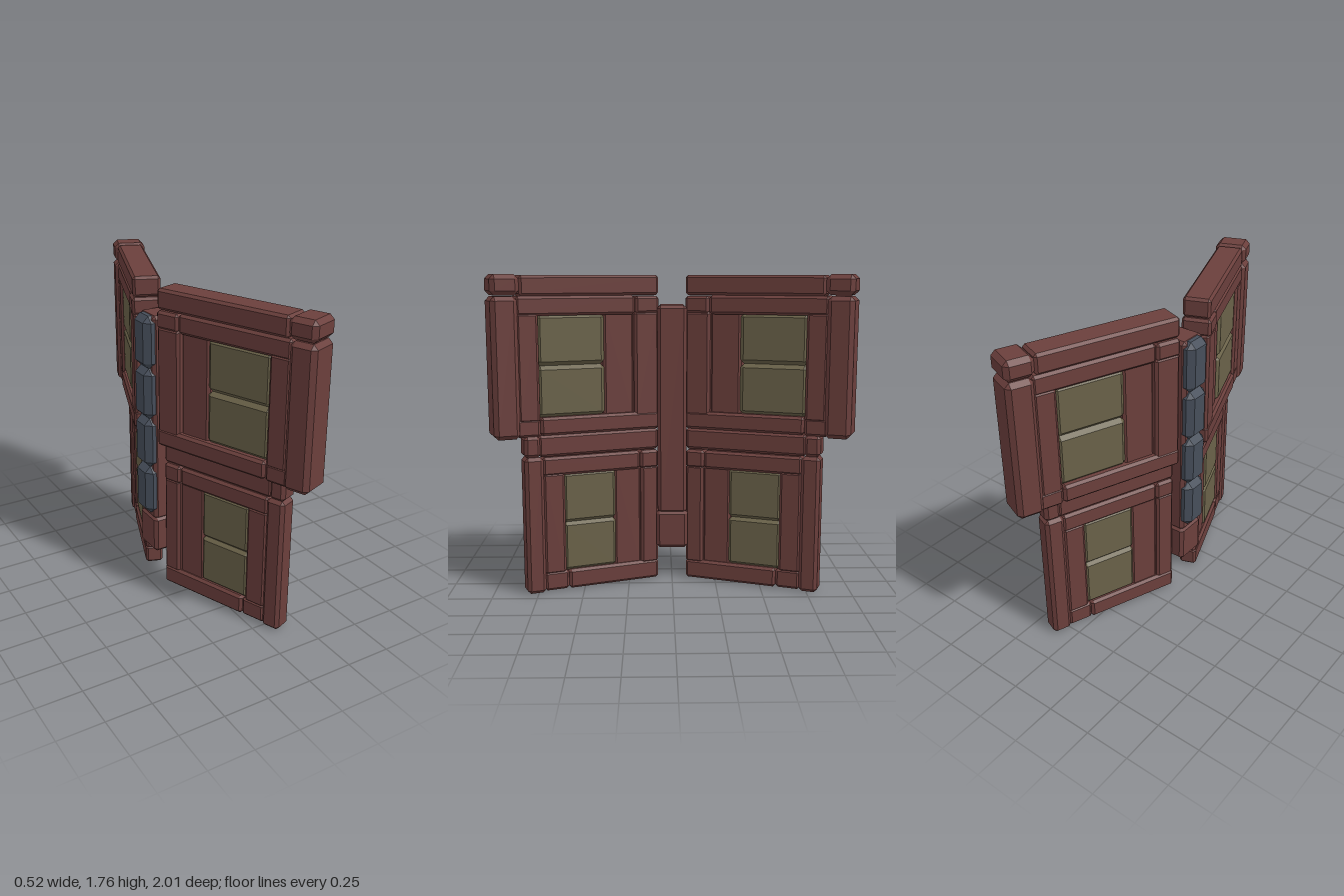
import * as THREE from 'three';
import { ConvexGeometry } from 'three/addons/geometries/ConvexGeometry.js';

const material = (color) => new THREE.MeshStandardMaterial({ color, flatShading: true });
const wood = material(0x6b3f3c);
const glass = material(0x6a6249);
const metal = material(0x464e5a);

// Box between two corners with all edges chamfered by c
function block(name, x0, x1, y0, y1, z0, z1, c, mat = wood) {
  const h = [(x1 - x0) / 2, (y1 - y0) / 2, (z1 - z0) / 2];
  const points = [];
  for (const sx of [-1, 1]) for (const sy of [-1, 1]) for (const sz of [-1, 1])
    for (let k = 0; k < 3; k++) {
      const p = [sx, sy, sz].map((s, i) => s * (i === k ? h[i] : h[i] - c));
      points.push(new THREE.Vector3(...p));
    }
  const mesh = new THREE.Mesh(new ConvexGeometry(points), mat);
  mesh.position.set((x0 + x1) / 2, (y0 + y1) / 2, (z0 + z1) / 2);
  mesh.name = name;
  return mesh;
}

// A part of a wing: from u0 to u1 along the wing, y0 to y1 high, t thick
const part = (name, u0, u1, y0, y1, t, c = 0.014, mat = wood) =>
  block(name, -t / 2, t / 2, y0, y1, u0, u1, c, mat);

function upperPanel() {
  const g = new THREE.Group();
  g.name = 'upperPanel';
  g.add(
    part('topRail', 0, 0.79, 1.65, 1.76, 0.15),
    part('cornerCap', 0.79, 0.945, 1.655, 1.765, 0.18, 0.024),
    part('outerPost', 0.8, 0.945, 0.885, 1.65, 0.18, 0.024),
    // pinwheel frame
    part('topCorner', 0, 0.14, 1.55, 1.645, 0.16),
    part('headRail', 0.14, 0.81, 1.545, 1.65, 0.148),
    part('innerStile', 0, 0.145, 0.97, 1.56, 0.15),
    part('outerStile', 0.69, 0.81, 0.97, 1.56, 0.148),
    part('bottomRail', 0, 0.69, 0.895, 0.995, 0.16),
    part('bottomCorner', 0.69, 0.82, 0.89, 0.99, 0.148),
    // infill
    part('plank', 0.14, 0.32, 0.98, 1.56, 0.095),
    part('lowerPane', 0.315, 0.7, 0.99, 1.275, 0.12, 0.022, glass),
    part('upperPane', 0.315, 0.7, 1.275, 1.555, 0.12, 0.022, glass)
  );
  return g;
}

function lowerPanel() {
  const g = new THREE.Group();
  g.name = 'lowerPanel';
  g.add(
    part('middleRail', 0, 0.7, 0.775, 0.895, 0.095),
    part('middleCap', 0.69, 0.78, 0.775, 0.895, 0.11, 0.018),
    part('outerPost', 0.675, 0.78, 0, 0.775, 0.11, 0.018),
    // pinwheel frame
    part('topCorner', 0, 0.11, 0.665, 0.77, 0.1),
    part('headRail', 0.11, 0.68, 0.665, 0.77, 0.092),
    part('innerStile', 0, 0.105, 0.1, 0.68, 0.095),
    part('outerStile', 0.555, 0.68, 0.1, 0.68, 0.09),
    part('bottomRail', 0, 0.54, 0.005, 0.115, 0.1),
    part('bottomCorner', 0.54, 0.68, 0.005, 0.115, 0.09),
    // infill
    part('plank', 0.1, 0.265, 0.1, 0.68, 0.06),
    part('lowerPane', 0.255, 0.565, 0.11, 0.39, 0.075, 0.018, glass),
    part('upperPane', 0.255, 0.565, 0.39, 0.675, 0.075, 0.018, glass)
  );
  return g;
}

export function createModel() {
  const model = new THREE.Group();
  model.name = 'foldingScreen';
  const tilt = 0.368;

  // Two wings angled away from the central post
  for (const side of [1, -1]) {
    const wing = new THREE.Group();
    wing.name = side > 0 ? 'frontWing' : 'backWing';
    for (const [panel, x, z] of [[upperPanel(), -0.156, 0.1], [lowerPanel(), -0.134, 0.095]]) {
      panel.position.set(x, 0, side * z);
      panel.rotation.y = side > 0 ? tilt : Math.PI - tilt;
      wing.add(panel);
    }
    model.add(wing);
  }

  // Central post and its foot
  model.add(
    block('centralPost', -0.22, -0.05, 0.4, 1.595, -0.083, 0.083, 0.018),
    block('postFoot', -0.225, -0.045, 0.195, 0.415, -0.09, 0.09, 0.018)
  );

  // Metal plates along the back of the post
  for (let i = 0; i < 4; i++) {
    const y = 0.44 + i * 0.288;
    model.add(block('hingePlate', -0.262, -0.16, y, y + 0.288, -0.078, 0.078, 0.033, metal));
  }
  return model;
}
